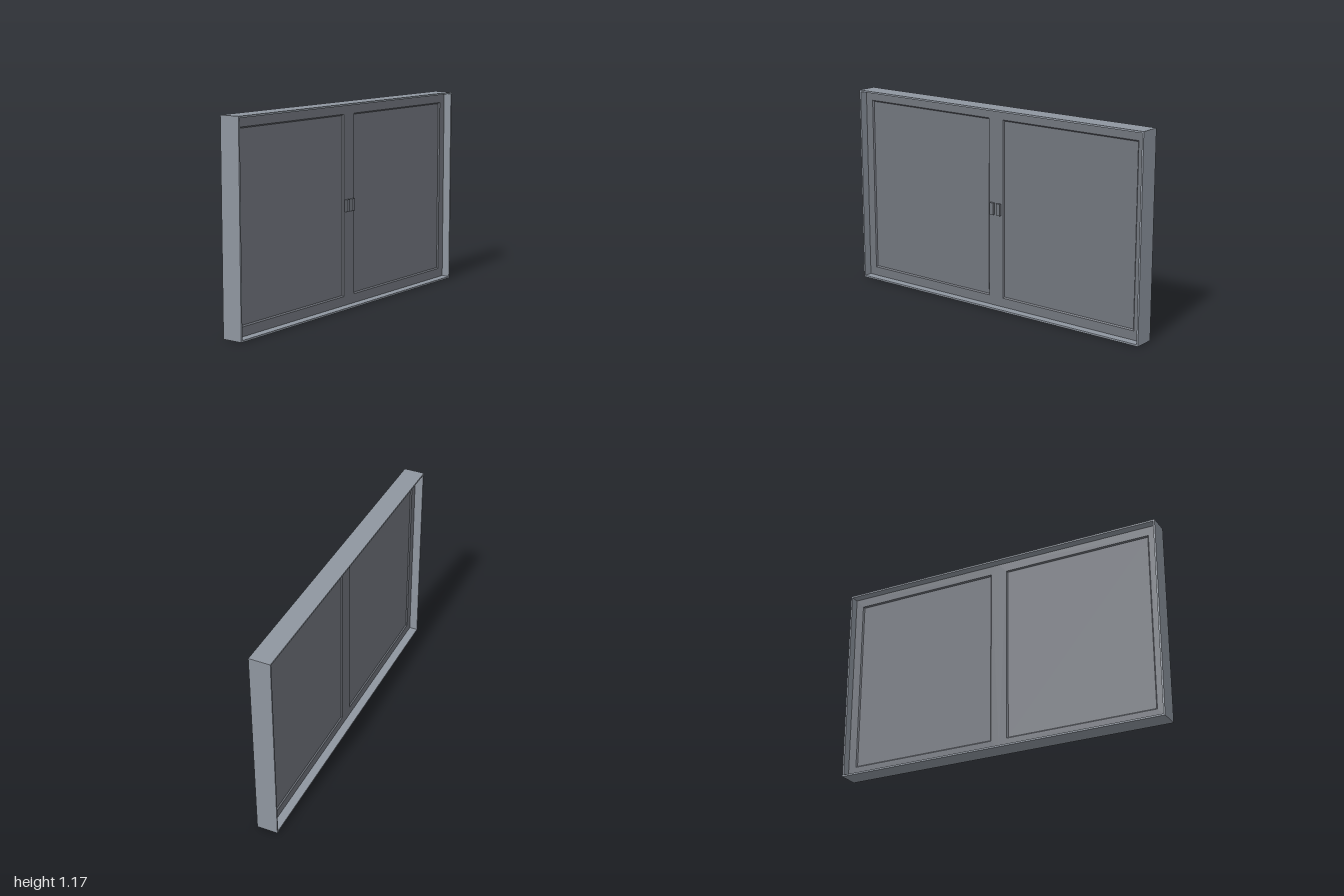
import * as THREE from 'three';

const W = 2, H = 1.172, D = 0.122;   // overall size
const LIP = 0.01;                    // casing wall thickness
const SASH = 0.024, PANE = 0.01;     // sash and pane depths
const BEVEL = 0.007;                 // sloped bead around each pane

const casingMaterial = new THREE.MeshStandardMaterial({ color: 0x8f96a0 });
const sashMaterial = new THREE.MeshStandardMaterial({ color: 0x71757d });

function addMesh(parent, name, geometry, material, x = 0, y = 0, z = 0) {
  const mesh = new THREE.Mesh(geometry, material);
  mesh.name = name;
  mesh.position.set(x, y, z);
  parent.add(mesh);
}

function rectangle(path, x0, y0, x1, y1) {
  path.moveTo(x0, y0);
  path.lineTo(x1, y0);
  path.lineTo(x1, y1);
  path.lineTo(x0, y1);
  path.closePath();
  return path;
}

// Rectangular ring, extruded symmetrically about z = 0
function ring(outer, inner, depth, bevel = 0) {
  const shape = rectangle(new THREE.Shape(), ...outer);
  shape.holes.push(rectangle(new THREE.Path(), ...inner));
  const geometry = new THREE.ExtrudeGeometry(shape, {
    depth, bevelEnabled: bevel > 0, bevelSize: bevel, bevelThickness: bevel, bevelSegments: 1,
  });
  return geometry.translate(0, 0, -depth / 2);
}

export function createModel() {
  const group = new THREE.Group();
  group.name = 'slidingWindow';

  // Thin, deep casing around the whole window
  addMesh(group, 'casing',
    ring([-W / 2, 0, W / 2, H], [-W / 2 + LIP, LIP, W / 2 - LIP, H - LIP], D), casingMaterial);

  for (const side of [-1, 1]) {
    const sash = new THREE.Group();
    sash.name = side < 0 ? 'rightSash' : 'leftSash';
    group.add(sash);

    // Sash frame, meeting its twin on the centre line
    const [x0, x1] = [0, side * (W / 2 - LIP)].sort((a, b) => a - b);
    const [left, right] = [side * 0.048, side * 0.942].sort((a, b) => a - b);
    const bottom = 0.062, top = 1.11;
    const opening = [left, bottom, right, top];
    addMesh(sash, 'sashFrame', ring([x0, LIP, x1, H - LIP], opening, SASH), sashMaterial);

    // Bead sloping from the sash faces down to the pane
    const e = 0.001;
    addMesh(sash, 'paneBead',
      ring(opening, [left + e, bottom + e, right - e, top - e], PANE, BEVEL), sashMaterial);

    // Pane set back from both faces of the sash
    addMesh(sash, 'pane', new THREE.BoxGeometry(right - left, top - bottom, PANE), sashMaterial,
      (left + right) / 2, (bottom + top) / 2, 0);

    // Small pull on the front of the meeting stile
    addMesh(sash, 'handle', new THREE.BoxGeometry(0.026, 0.07, 0.014), sashMaterial,
      side * 0.0235, 0.588, SASH / 2 + 0.007);
  }
  return group;
}
